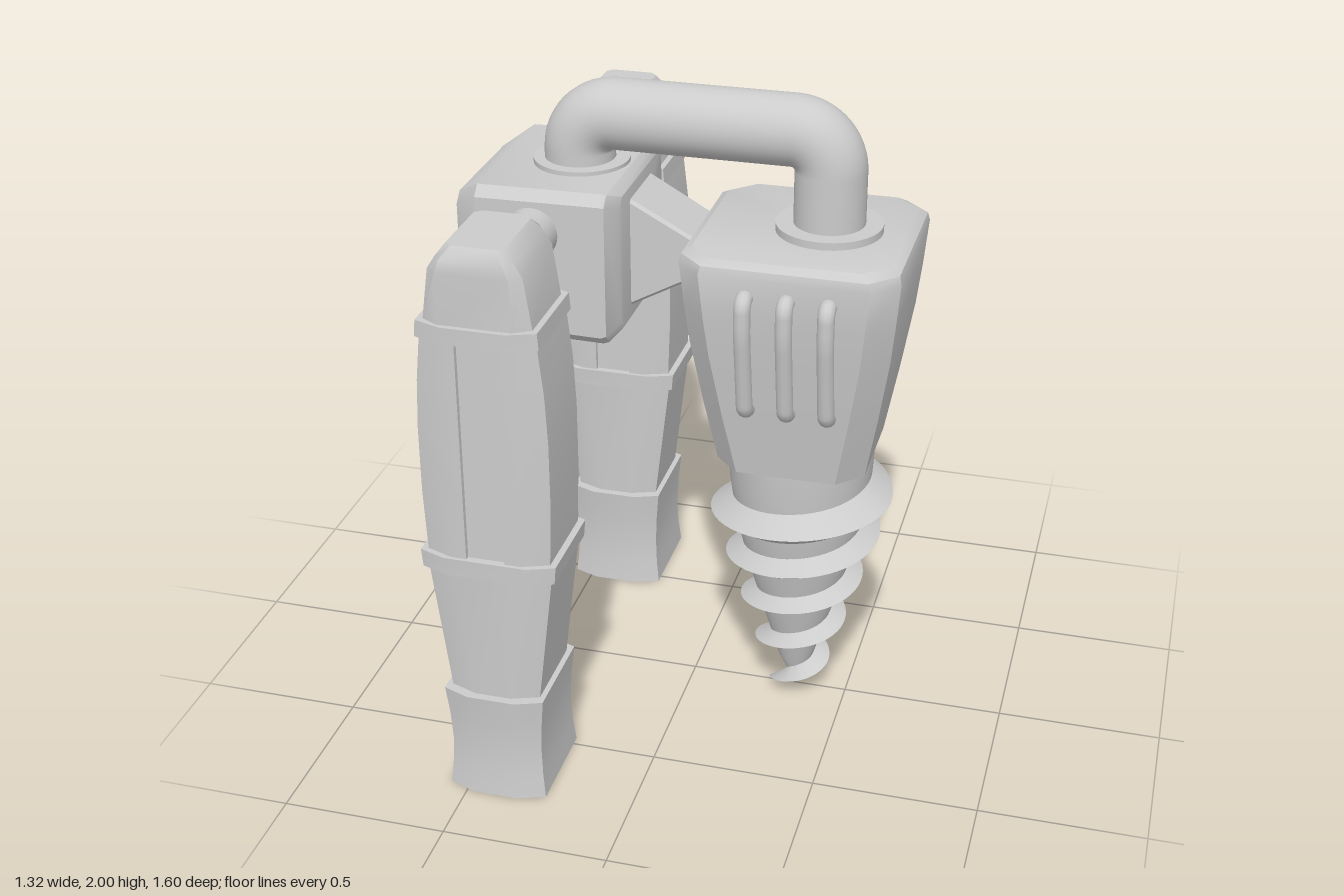
import * as THREE from 'three';
import { toCreasedNormals } from 'three/addons/utils/BufferGeometryUtils.js';

const material = new THREE.MeshStandardMaterial({ color: 0xcccccc, side: THREE.DoubleSide });

function add(parent, name, geometry, x = 0, y = 0, z = 0) {
  const mesh = new THREE.Mesh(geometry, material);
  mesh.name = name;
  mesh.position.set(x, y, z);
  parent.add(mesh);
  return mesh;
}

// Horizontal chamfered rectangle; groove cuts a shallow channel in both z faces
function ring(y, hx, hz, cx, cz, groove = 0) {
  const half = [[hx, hz - cz], [hx - cx, hz]];
  if (groove) half.push([0.058, hz], [0.056, hz - groove], [-0.056, hz - groove], [-0.058, hz]);
  half.push([cx - hx, hz], [-hx, hz - cz]);
  return [...half, ...half.map(([x, z]) => [-x, -z])].map(([x, z]) => [x, y, z]);
}

// Skin through rings of equal length, listed bottom to top
function loft(rings, { bottom = true, top = true, crease = 0.6 } = {}) {
  const n = rings[0].length, last = (rings.length - 1) * n, index = [];
  for (let i = 0; i < rings.length - 1; i++) {
    for (let j = 0; j < n; j++) {
      const a = i * n + j, b = i * n + (j + 1) % n;
      index.push(a, a + n, b, b, a + n, b + n);
    }
  }
  for (let j = 1; j < n - 1; j++) {
    if (bottom) index.push(0, j, j + 1);
    if (top) index.push(last, last + j + 1, last + j);
  }
  const g = new THREE.BufferGeometry();
  g.setAttribute('position', new THREE.Float32BufferAttribute(rings.flat(2), 3));
  g.setIndex(index);
  return toCreasedNormals(g, crease);
}

// Round pipe through corner points with curved bends
function pipe(points, radius, bend, segments, sides) {
  const p = points.map((q) => new THREE.Vector3(...q));
  const path = new THREE.CurvePath();
  let from = p[0];
  for (let i = 1; i < p.length - 1; i++) {
    const toward = (q) => p[i].clone().add(q.clone().sub(p[i]).setLength(bend));
    const a = toward(p[i - 1]), b = toward(p[i + 1]);
    const k = 0.55;
    path.add(new THREE.LineCurve3(from, a));
    path.add(new THREE.CubicBezierCurve3(a, a.clone().lerp(p[i], k), b.clone().lerp(p[i], k), b));
    from = b;
  }
  path.add(new THREE.LineCurve3(from, p[p.length - 1]));
  return new THREE.TubeGeometry(path, segments, radius, sides, false);
}

function makeLeg(name, z) {
  const leg = new THREE.Group();
  leg.name = name;
  leg.position.set(-0.41, 0, z);
  const rings = (list, groove) => list.map(([y, hx, hz]) => ring(y, hx, hz, 0.08, 0.03, groove));
  // Hollow foot cuff
  add(leg, 'foot', loft(rings([[0, 0.15, 0.18], [0.08, 0.142, 0.173], [0.16, 0.139, 0.17],
    [0.25, 0.143, 0.173], [0.345, 0.152, 0.18]]), { bottom: false }));
  add(leg, 'shin', loft(rings([[0.34, 0.135, 0.155], [0.77, 0.187, 0.155]])));
  add(leg, 'kneeBand', loft(rings([[0.755, 0.198, 0.168], [0.81, 0.203, 0.168]])));
  // Thigh with a channel down the front and back
  add(leg, 'thigh', loft(rings([[0.8, 0.183, 0.157], [1.0, 0.191, 0.157], [1.2, 0.191, 0.157],
    [1.35, 0.184, 0.157], [1.5, 0.168, 0.157]], 0.012), { bottom: false, top: false }));
  add(leg, 'hipBand', loft(rings([[1.49, 0.178, 0.168], [1.54, 0.174, 0.168]])));
  add(leg, 'hipCap', loft([ring(1.53, 0.158, 0.152, 0.05, 0.03), ring(1.69, 0.135, 0.152, 0.03, 0.03),
    ring(1.73, 0.11, 0.15, 0.02, 0.03), ring(1.765, 0.083, 0.125, 0.02, 0.02)]));
  return leg;
}

// Helical blade with a triangular section, fading out at both ends
function threadGeometry() {
  const turns = 4.85, steps = 240, rings = [];
  for (let i = steps; i >= 0; i--) {
    const t = (i / steps) * turns - 0.32;
    const angle = t * Math.PI * 2, y = 0.745 - 0.16 * t;
    const core = 0.015 + 0.27 * y;
    const fade = Math.min(1, i / 18, (steps - i) / 5 + 0.15);
    const tip = core + (0.075 + 0.3 * y - core) * fade;
    const thick = (0.025 + 0.045 * y) * (0.3 + 0.7 * fade);
    const at = (r, h) => [r * Math.cos(angle), Math.max(0.002, h), r * Math.sin(angle)];
    rings.push([at(core, y - thick), at(tip, y), at(core, y + thick)]);
  }
  return loft(rings, { crease: 0.7 });
}

export function createModel() {
  const model = new THREE.Group();
  model.name = 'drillRig';

  // Legs and the axles that carry the hub
  for (const [side, s] of [['front', 1], ['back', -1]]) {
    model.add(makeLeg(side + 'Leg', s * 0.62));
    add(model, side + 'Axle', new THREE.CylinderGeometry(0.078, 0.078, 0.24, 32), -0.41, 1.617, s * 0.375)
      .rotation.x = Math.PI / 2;
  }

  // Hub and tapered arm, lofted upright then laid along x
  const sideways = (name, list, c, y) => {
    const g = loft(list.map(([x, hy, hz]) => ring(x, hy, hz, c, c)));
    const mesh = add(model, name, g, 0, y, 0);
    mesh.rotation.z = -Math.PI / 2;
  };
  sideways('hub', [[-0.66, 0.175, 0.22], [-0.58, 0.228, 0.284], [-0.21, 0.234, 0.286],
    [-0.195, 0.23, 0.28], [-0.167, 0.205, 0.22]], 0.03, 1.512);
  sideways('arm', [[-0.18, 0.175, 0.115], [0.03, 0.06, 0.11]], 0.01, 1.51);

  // Overhead hose and its collars
  add(model, 'hose', pipe([[-0.35, 1.7, 0], [-0.35, 1.895, 0], [0.4, 1.895, 0], [0.4, 1.58, 0]],
    0.105, 0.11, 90, 32));
  add(model, 'hubCollar', new THREE.CylinderGeometry(0.143, 0.143, 0.03, 40), -0.345, 1.742, 0);
  add(model, 'drillCollar', new THREE.CylinderGeometry(0.157, 0.157, 0.04, 40), 0.4, 1.605, 0);

  // Drill housing, screw core and blade
  const drill = new THREE.Group();
  drill.name = 'drill';
  drill.position.x = 0.335;
  model.add(drill);
  add(drill, 'housing', loft([[0.89, 0.225, 0.23], [1.1, 0.263, 0.264], [1.3, 0.295, 0.293],
    [1.42, 0.308, 0.308], [1.56, 0.32, 0.32], [1.585, 0.314, 0.314], [1.602, 0.29, 0.29]]
    .map(([y, hx, hz]) => ring(y, hx, hz, 0.075, 0.075))));
  const profile = [[0, 0], [0.022, 0.05], [0.055, 0.12], [0.12, 0.34], [0.165, 0.5], [0.2, 0.65],
    [0.218, 0.78], [0.225, 0.9]].map(([x, y]) => new THREE.Vector2(x, y));
  add(drill, 'screwCore', new THREE.LatheGeometry(profile, 48));
  add(drill, 'screwBlade', threadGeometry());

  // Three bent ribs on the front and back of the housing
  for (const s of [1, -1]) {
    for (const x of [-0.11, 0.01, 0.13]) {
      add(drill, 'rib', pipe([[x, 1.5, s * 0.28], [x, 1.505, s * 0.345], [x, 1.4, s * 0.345],
        [x, 1.13, s * 0.298], [x, 1.13, s * 0.23]], 0.025, 0.03, 40, 12));
    }
  }
  return model;
}
